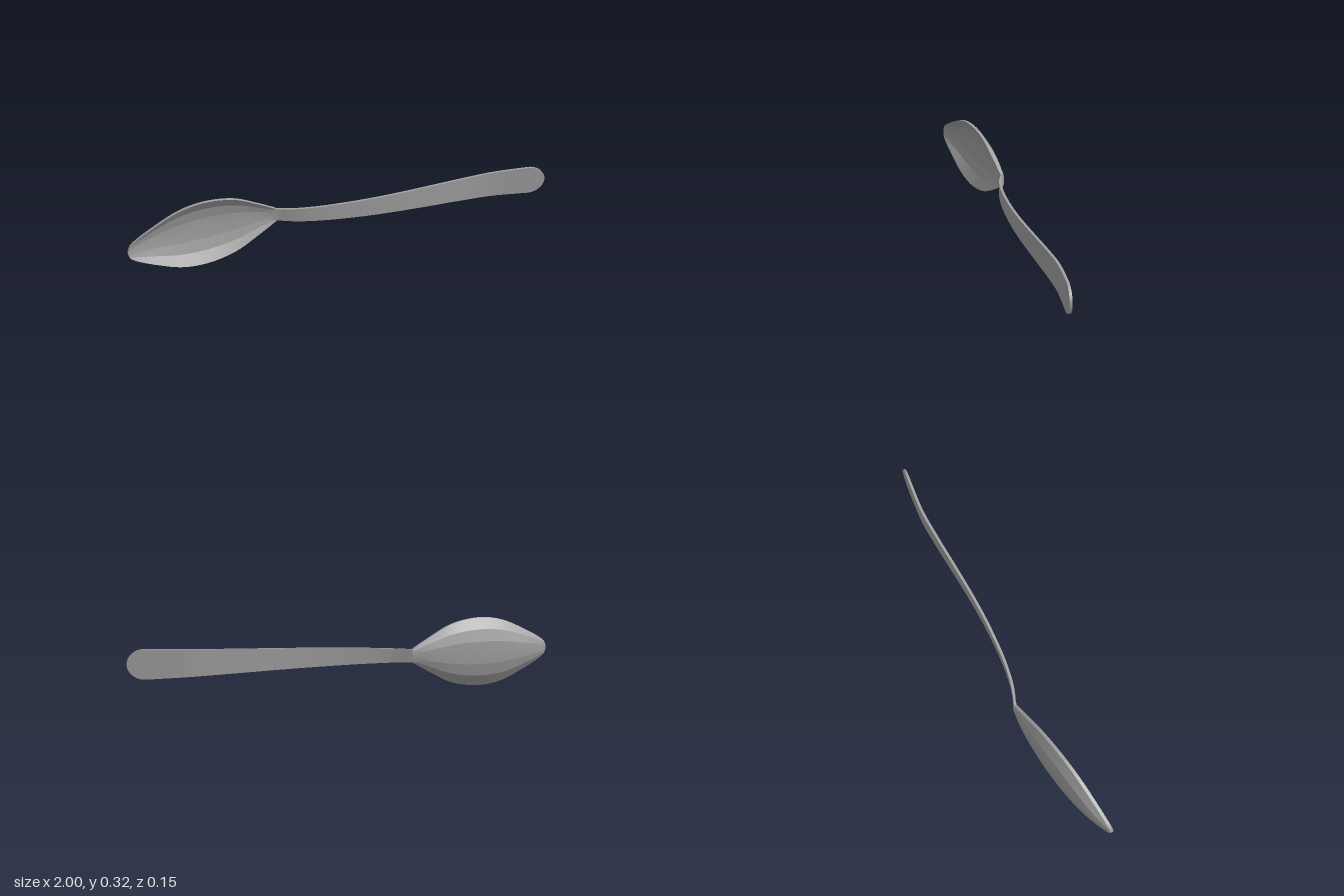
import * as THREE from 'three';
import { toCreasedNormals } from 'three/addons/utils/BufferGeometryUtils.js';

const MID = 0.16; // height of the long axis

// Skin closed rings of [x, y, z] points, ordered along +x, and cap both ends
function loft(rings, crease) {
  const n = rings[0].length;
  const index = [];
  for (let i = 0; i < rings.length - 1; i++) {
    for (let j = 0; j < n; j++) {
      const k = (j + 1) % n;
      const a = i * n + j, b = i * n + k, c = b + n, d = a + n;
      index.push(a, d, c, a, c, b);
    }
  }
  const last = (rings.length - 1) * n;
  for (let j = 1; j < n - 1; j++) {
    index.push(0, j, j + 1, last, last + j + 1, last + j);
  }
  const geo = new THREE.BufferGeometry();
  geo.setAttribute('position', new THREE.Float32BufferAttribute(rings.flat(2), 3));
  geo.setIndex(index);
  return toCreasedNormals(geo, crease);
}

const spline = (pts) =>
  new THREE.CatmullRomCurve3(pts.map((p) => new THREE.Vector3(...p)));

// Bowl: each station gives x, half width and depth below a sloping rim
function bowlGeometry() {
  const stations = spline([
    [-1, 0.008, 0], [-0.99, 0.03, 0.006], [-0.96, 0.053, 0.017],
    [-0.87, 0.1, 0.038], [-0.76, 0.145, 0.048], [-0.64, 0.16, 0.049],
    [-0.5, 0.137, 0.04], [-0.39, 0.083, 0.026], [-0.3, 0.032, 0.004],
  ]).getPoints(32);
  // Faceted cross-section: fraction of width, fraction of depth
  const section = [[-1, 0], [-0.68, 0.66], [-0.33, 0.94], [0, 1], [0.33, 0.94], [0.68, 0.66], [1, 0]];
  const rings = stations.map(({ x, y: w, z: depth }) => {
    const rim = 0.071 - 0.173 * (x + 1);
    const side = (offset) =>
      section.map(([u, v]) => [x, MID + u * w, rim - offset - v * depth]);
    return [...side(0), ...side(0.015).reverse()];
  });
  return loft(rings, 0.16);
}

// Handle: a thin strip that widens towards a rounded end
function handleGeometry() {
  const path = spline([
    [-0.32, 0, -0.06], [-0.29, 0, -0.054], [-0.25, 0, -0.039], [-0.2, 0, -0.024],
    [-0.1, 0, -0.007], [0, 0, 0.001], [0.12, 0, 0.005], [0.25, 0, 0.003],
    [0.4, 0, -0.005], [0.6, 0, -0.018], [0.74, 0, -0.023], [0.85, 0, -0.015],
    [0.92, 0, -0.008],
  ]).getPoints(48);
  const stations = path.map((p) => [p.x, p.z, 0.03 + (0.038 * (p.x + 0.3)) / 1.22]);
  for (let i = 1; i <= 10; i++) {
    const a = (i / 10) * 1.5;
    stations.push([0.92 + 0.08 * Math.sin(a), -0.008 + 0.008 * Math.sin(a), 0.068 * Math.cos(a)]);
  }
  const t = 0.006;
  const rings = stations.map(([x, z, w]) => [
    [x, MID - w, z + t], [x, MID + w, z + t], [x, MID + w, z - t], [x, MID - w, z - t],
  ]);
  return loft(rings, 0.5);
}

export function createModel() {
  const steel = new THREE.MeshStandardMaterial({ color: 0xa0a0a0 });
  steel.name = 'steel grey';
  const spoon = new THREE.Group();
  spoon.name = 'spoon';
  const parts = { bowl: bowlGeometry(), handle: handleGeometry() };
  for (const [name, geometry] of Object.entries(parts)) {
    const mesh = new THREE.Mesh(geometry, steel);
    mesh.name = name;
    spoon.add(mesh);
  }
  return spoon;
}
